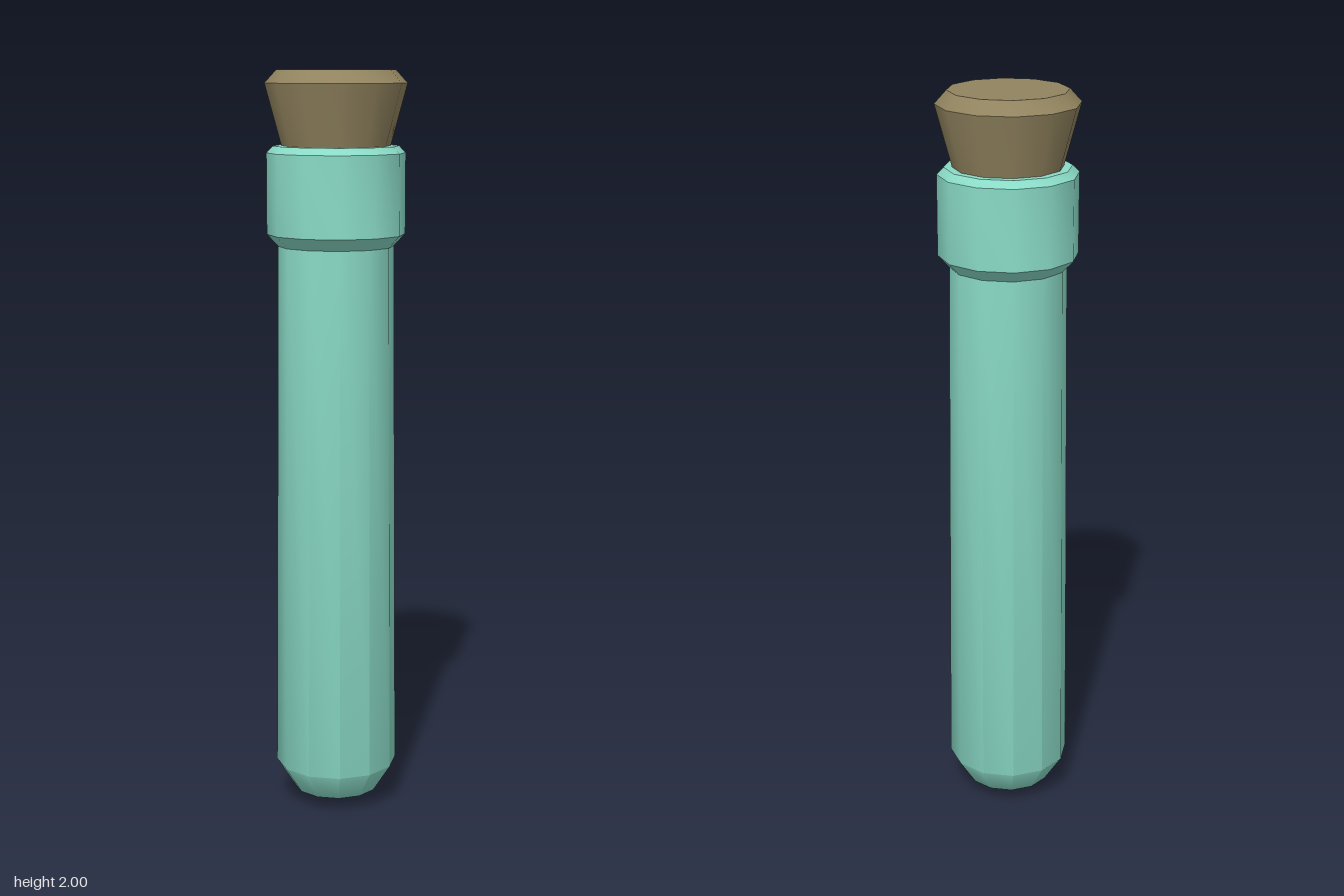
import * as THREE from 'three';
import { toCreasedNormals } from 'three/addons/utils/BufferGeometryUtils.js';

const SIDES = 12;

// Turned part from [radius, height] pairs listed bottom to top
function turned(name, profile, color) {
  const points = profile.map(([r, y]) => new THREE.Vector2(r, y));
  const geometry = toCreasedNormals(new THREE.LatheGeometry(points, SIDES), 0.72);
  const mesh = new THREE.Mesh(geometry, new THREE.MeshStandardMaterial({ color }));
  mesh.name = name;
  return mesh;
}

export function createModel() {
  const group = new THREE.Group();
  group.name = 'corkedTube';

  // Rounded base and slightly tapering body
  group.add(turned('tubeBody', [
    [0, 0], [0.115, 0.038], [0.165, 0.115], [0.153, 1.56],
  ], 0x8adbc7));

  // Thick bevelled collar, open at the mouth
  group.add(turned('collar', [
    [0.152, 1.542], [0.183, 1.575], [0.183, 1.787], [0.165, 1.805], [0.135, 1.805], [0.135, 1.7],
  ], 0x8adbc7));

  // Tapered stopper with a bevelled top
  group.add(turned('cork', [
    [0, 1.7], [0.115, 1.7], [0.142, 1.8], [0.187, 1.966], [0.156, 2], [0, 2],
  ], 0x92845f));

  return group;
}
